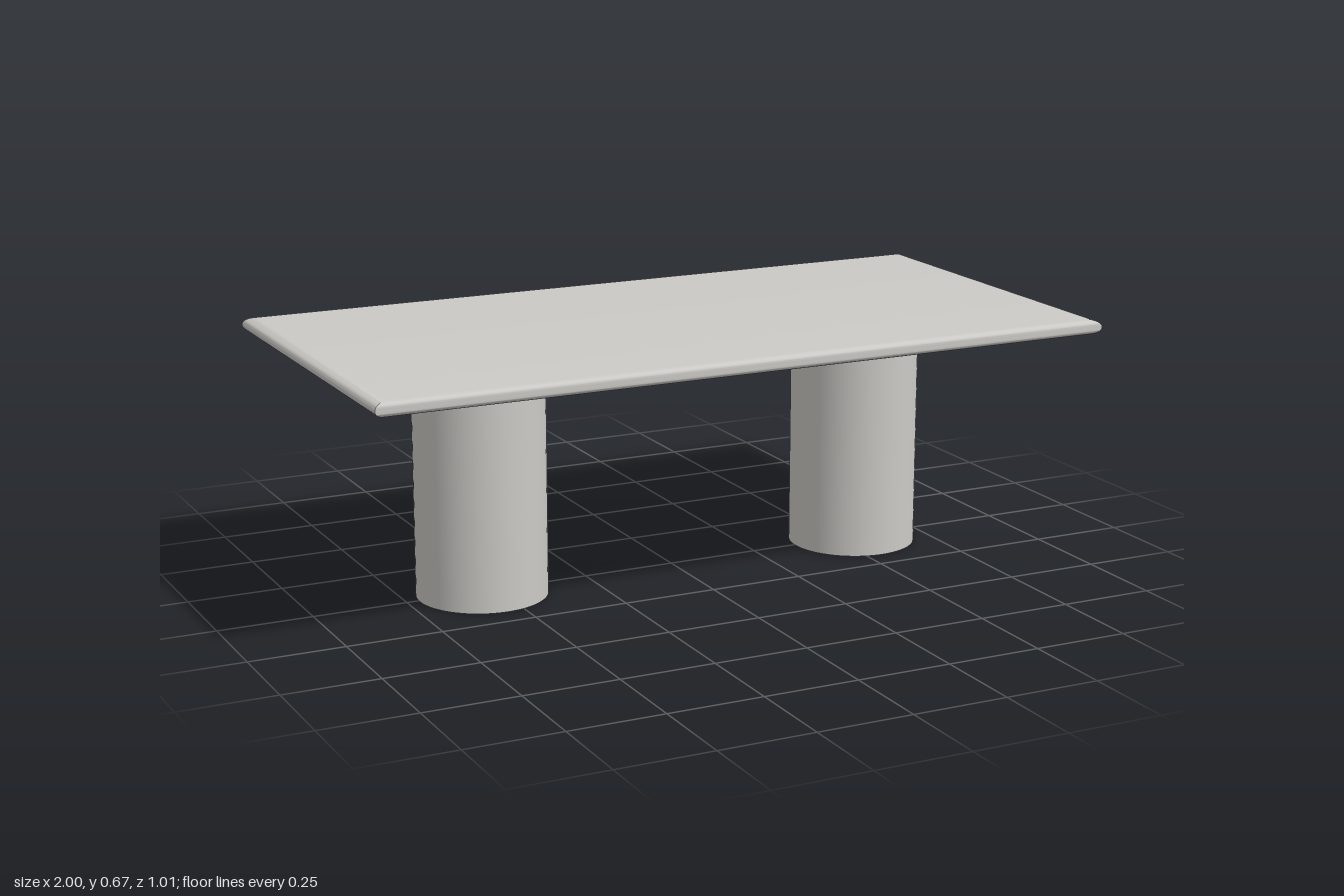
import * as THREE from 'three';
import { toCreasedNormals } from 'three/addons/utils/BufferGeometryUtils.js';

const stone = new THREE.MeshStandardMaterial({ color: 0xcccac6 });
stone.name = 'warmGrey';

// Slab with square corners and bullnose edges; the nose is stretched along x
function makeTop() {
  const halfX = 1, halfZ = 0.505, nose = 0.02, stretch = 1.8;
  const w = halfX / stretch - nose, d = halfZ - nose;
  const outline = new THREE.Shape([
    new THREE.Vector2(-w, -d), new THREE.Vector2(w, -d),
    new THREE.Vector2(w, d), new THREE.Vector2(-w, d),
  ]);
  const geometry = new THREE.ExtrudeGeometry(outline, {
    depth: 0.002, bevelThickness: 0.019, bevelSize: nose, bevelSegments: 8,
  });
  geometry.translate(0, 0, -0.001).rotateX(-Math.PI / 2).scale(stretch, 1, 1);
  const top = new THREE.Mesh(toCreasedNormals(geometry, 0.7), stone);
  top.name = 'tableTop';
  top.position.y = 0.648;
  return top;
}

export function createModel() {
  const table = new THREE.Group();
  table.name = 'table';
  table.add(makeTop());

  // Two round pedestals, set slightly towards the front
  const height = 0.635;
  const pedestal = new THREE.CylinderGeometry(0.171, 0.171, height, 64);
  for (const [name, x] of [['leftPedestal', 0.545], ['rightPedestal', -0.547]]) {
    const leg = new THREE.Mesh(pedestal, stone);
    leg.name = name;
    leg.position.set(x, height / 2, 0.01);
    table.add(leg);
  }
  return table;
}
